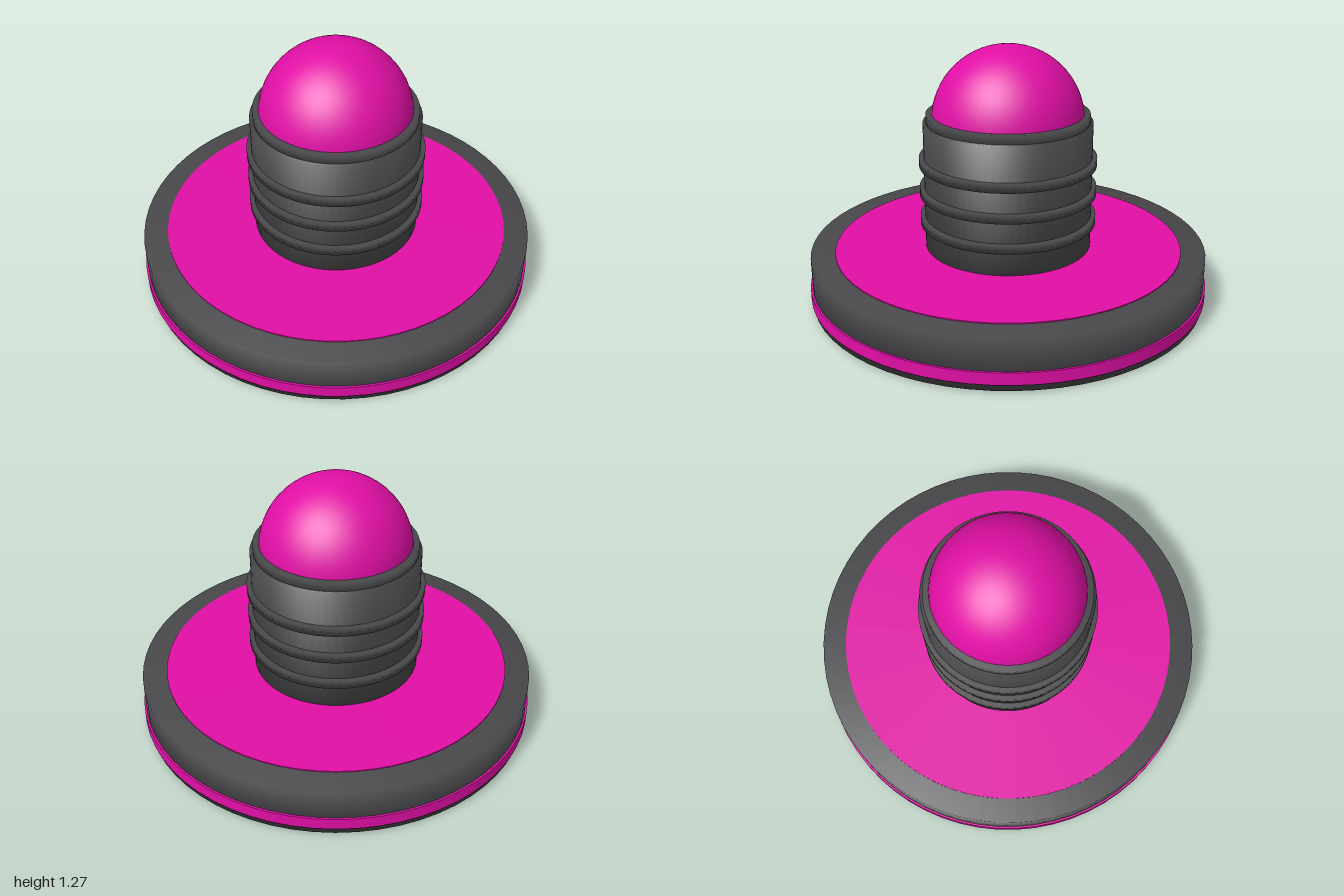
import * as THREE from 'three';

export function createModel() {
  const model = new THREE.Group();
  const grey = new THREE.MeshStandardMaterial({ color: 0x48484b });
  grey.name = 'charcoal';
  const pink = new THREE.MeshStandardMaterial({ color: 0xe00fa5 });
  pink.name = 'magenta';

  const add = (name, geometry, material, y = 0) => {
    const mesh = new THREE.Mesh(geometry, material);
    mesh.name = name;
    mesh.position.y = y;
    model.add(mesh);
  };

  // Solid disc whose normals blend softly around its rims
  const softDisc = (name, r, y0, y1) => {
    const profile = [[0, y0], [r, y0], [r, y1], [0, y1]].map(([x, y]) => new THREE.Vector2(x, y));
    add(name, new THREE.LatheGeometry(profile, 64), grey);
  };

  // Crisp-edged disc
  const crispDisc = (name, r, y0, y1) =>
    add(name, new THREE.CylinderGeometry(r, r, y1 - y0, 64), pink, (y0 + y1) / 2);

  // Wide base with inlaid faces and a band around the edge
  softDisc('base', 0.99, 0.01, 0.258);
  crispDisc('baseTopPlate', 0.87, 0.255, 0.263);
  crispDisc('baseBottomPlate', 0.87, 0.003, 0.011);
  crispDisc('baseBand', 1.0, 0.043, 0.102);

  // Stem with three ribs and a collar
  softDisc('stem', 0.417, 0.25, 0.9);
  [0.382, 0.532, 0.682].forEach((y, i) => softDisc('stemRib' + (i + 1), 0.44, y, y + 0.043));
  softDisc('collar', 0.402, 0.88, 0.942);

  // Domed top
  add('dome', new THREE.SphereGeometry(0.375, 48, 16, 0, Math.PI * 2, 0, Math.PI / 2), pink, 0.9);

  return model;
}
